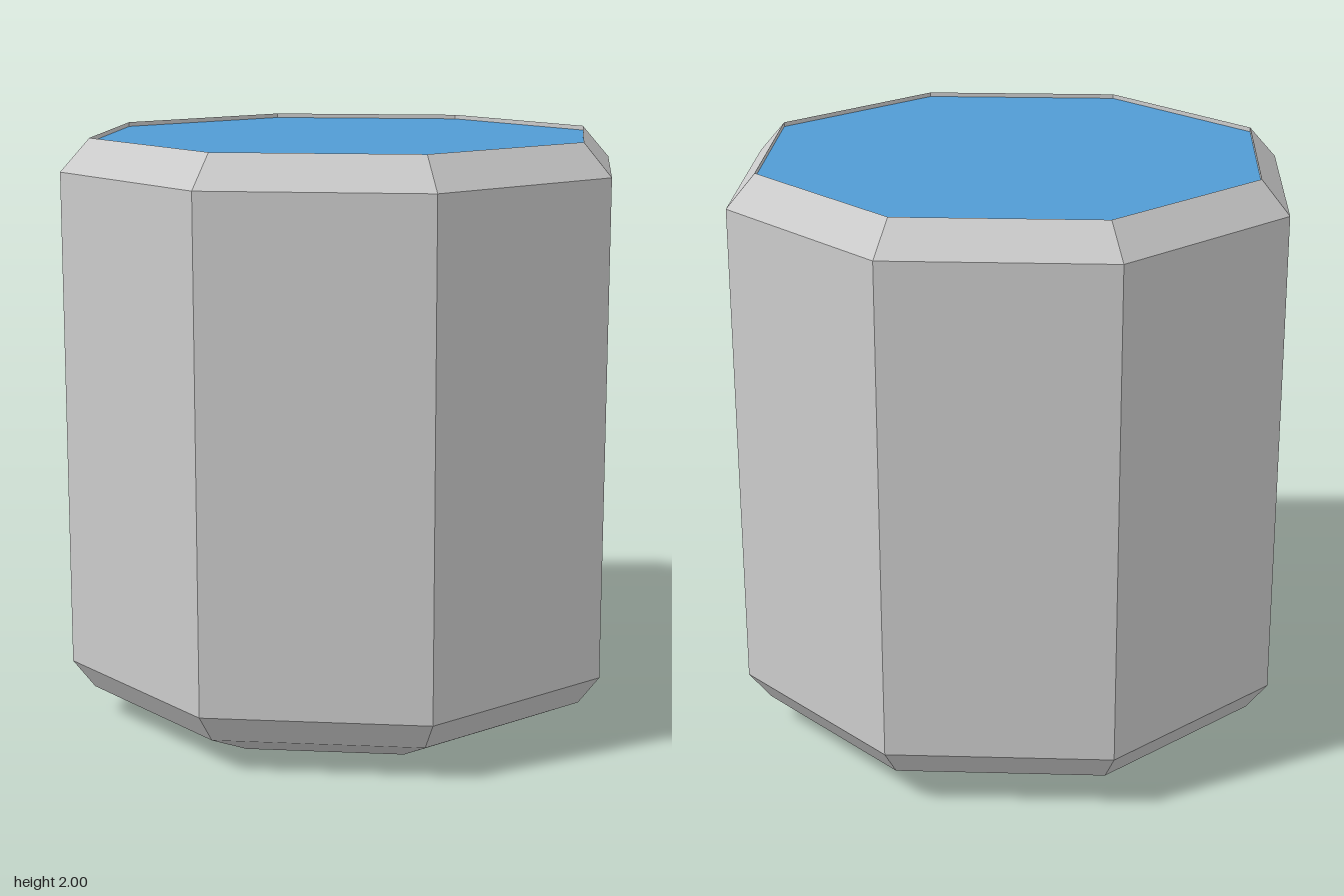
import * as THREE from 'three';

const SIDES = 8;
const TOP_RADIUS = 0.88;
const SURFACE_Y = 1.985;

export function createModel() {
  const group = new THREE.Group();

  // Eight-sided shell: two-step tapered base, straight wall, bevelled rim, shallow inner lip
  const profile = [
    [0, 0], [0.69, 0], [0.905, 0.1], [0.98, 0.2],
    [0.98, 1.89], [TOP_RADIUS, 2], [TOP_RADIUS, SURFACE_Y],
  ].map(([r, y]) => new THREE.Vector2(r, y));
  const shell = new THREE.Mesh(
    new THREE.LatheGeometry(profile, SIDES),
    new THREE.MeshStandardMaterial({ color: 0xcccccc, flatShading: true })
  );
  shell.name = 'shell';
  group.add(shell);

  // Coloured top surface set just below the rim
  const surface = new THREE.Mesh(
    new THREE.CircleGeometry(TOP_RADIUS, SIDES),
    new THREE.MeshStandardMaterial({ color: 0x519bd4, flatShading: true })
  );
  surface.name = 'topSurface';
  surface.rotation.x = -Math.PI / 2;
  surface.position.y = SURFACE_Y;
  group.add(surface);

  return group;
}
